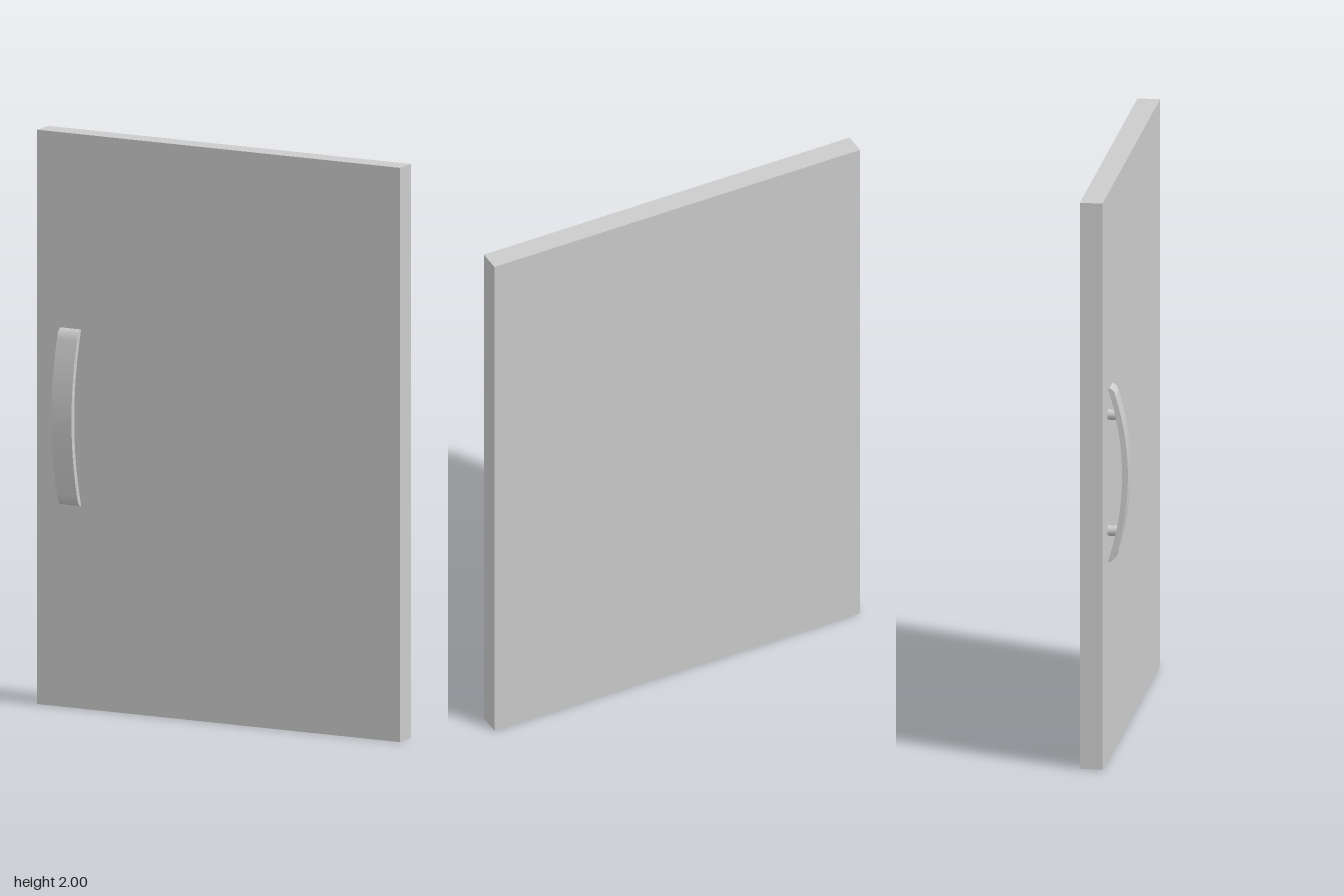
import * as THREE from 'three';
import { toCreasedNormals } from 'three/addons/utils/BufferGeometryUtils.js';

const WIDTH = 1.411, HEIGHT = 2, THICK = 0.078;
const HANDLE_X = -0.571, HANDLE_Y = 1.015, HANDLE_W = 0.078;

export function createModel() {
  const group = new THREE.Group();
  group.name = 'cabinetDoor';
  const material = new THREE.MeshStandardMaterial({ color: 0xcccccc });

  const add = (name, geometry, parent) => {
    const mesh = new THREE.Mesh(geometry, material);
    mesh.name = name;
    parent.add(mesh);
    return mesh;
  };

  // The door stands slightly ajar
  const door = new THREE.Group();
  door.name = 'door';
  door.rotation.y = THREE.MathUtils.degToRad(-20.3);
  group.add(door);

  add('panel', new THREE.BoxGeometry(WIDTH, HEIGHT, THICK), door).position.y = HEIGHT / 2;

  const handle = new THREE.Group();
  handle.name = 'handle';
  handle.position.set(HANDLE_X, HANDLE_Y, 0);
  door.add(handle);

  // Bowed grip: side profile (depth, height) with rounded tips, extruded across its width
  const profile = new THREE.Shape();
  profile.moveTo(0.044, -0.305);
  profile.quadraticCurveTo(0.05, -0.313, 0.066, -0.295);
  profile.quadraticCurveTo(0.16, 0, 0.066, 0.295);
  profile.quadraticCurveTo(0.05, 0.313, 0.044, 0.305);
  profile.quadraticCurveTo(0.142, 0, 0.044, -0.305);
  const grip = new THREE.ExtrudeGeometry(profile, { depth: HANDLE_W, bevelEnabled: false, curveSegments: 24 });
  grip.translate(0, 0, -HANDLE_W / 2);
  grip.rotateY(-Math.PI / 2);
  add('grip', toCreasedNormals(grip, 0.7), handle);

  // Two round posts joining grip and panel
  for (const side of [-1, 1]) {
    const post = new THREE.CylinderGeometry(0.018, 0.018, 0.05, 24);
    post.rotateX(Math.PI / 2);
    add(side > 0 ? 'upperPost' : 'lowerPost', post, handle).position.set(0, side * 0.205, 0.057);
  }
  return group;
}
